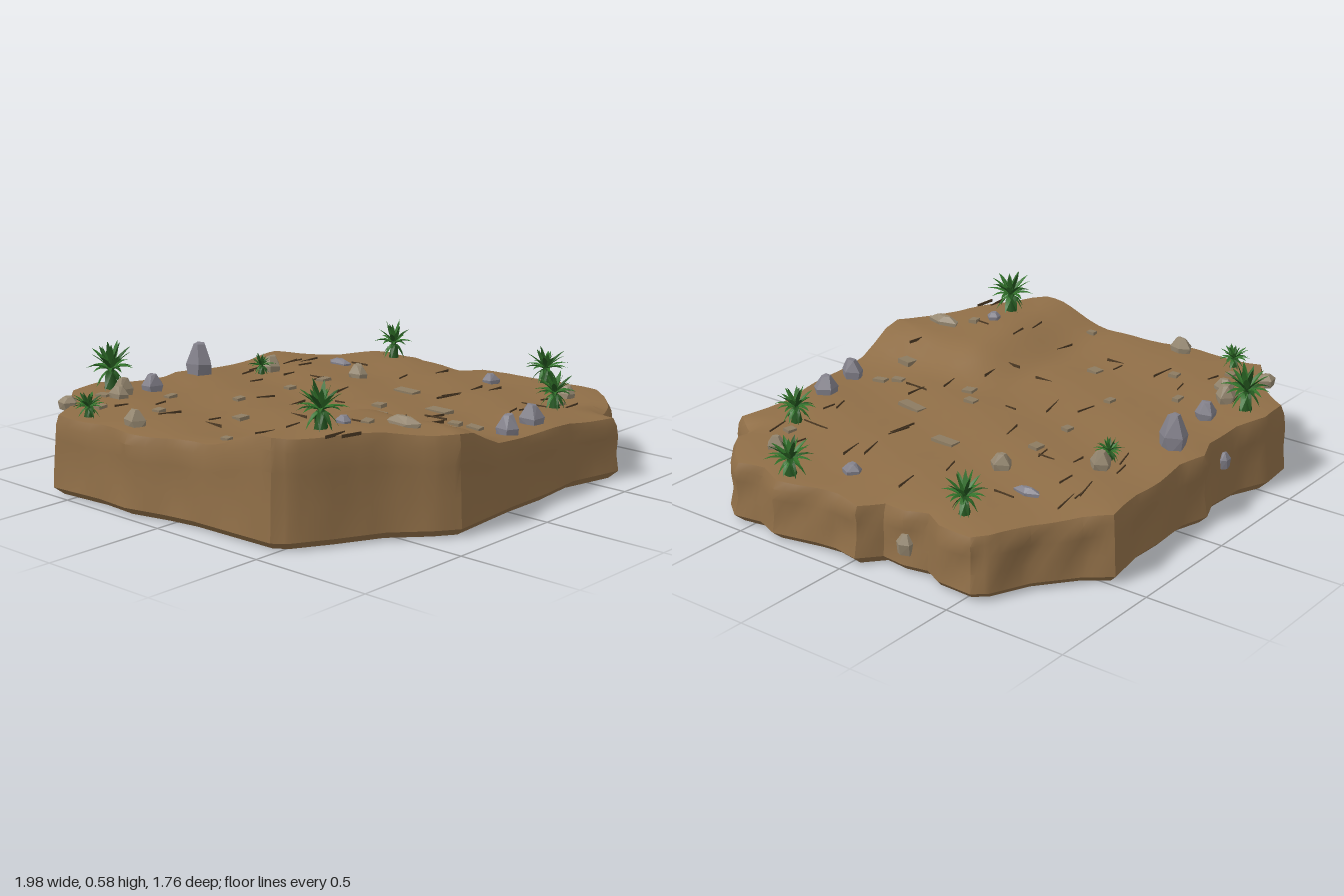
import * as THREE from 'three';
import { toCreasedNormals } from 'three/addons/utils/BufferGeometryUtils.js';
import { ConvexGeometry } from 'three/addons/geometries/ConvexGeometry.js';

const mat = (name, color, side = THREE.FrontSide) => {
  const m = new THREE.MeshStandardMaterial({ color, side });
  m.name = name;
  return m;
};

// Shore outline as x, z pairs, starting at the back right corner
const OUTLINE = [
  -0.99, -0.59, -0.89, -0.65, -0.80, -0.72, -0.68, -0.87, -0.53, -0.885, -0.40, -0.83, -0.22, -0.82,
  -0.12, -0.86, 0, -0.825, 0.15, -0.835, 0.3, -0.83, 0.49, -0.86, 0.56, -0.77, 0.71, -0.65,
  0.86, -0.58, 0.905, -0.53, 0.90, -0.38, 0.86, -0.3, 0.88, -0.2, 0.87, -0.1, 0.95, -0.03,
  0.93, 0.08, 0.94, 0.17, 0.98, 0.35, 0.94, 0.45, 0.96, 0.57, 0.9, 0.65, 0.77, 0.76,
  0.69, 0.78, 0.63, 0.88, 0.4, 0.83, 0.2, 0.85, 0, 0.85, -0.34, 0.875, -0.42, 0.82,
  -0.55, 0.70, -0.73, 0.61, -0.87, 0.53, -0.91, 0.48, -0.915, 0.3, -0.92, 0.1, -0.94, -0.03,
  -0.98, -0.2, -0.97, -0.35,
];

// Ground height: a gentle slope, a rise at the front, a gouge at the front corner
function ground(x, z) {
  const s = THREE.MathUtils.smoothstep;
  const rise = 0.09 * (1 - s(x, -0.32, -0.06)) * s(z, 0.12, 0.42);
  const gouge = 0.06 * Math.exp(-((x - 0.71) ** 2 + (z - 0.8) ** 2) / 0.004);
  const ripple = 0.005 * Math.sin(x * 13 + z * 5) + 0.005 * Math.sin(z * 17 - x * 7);
  return 0.28 - 0.04 * x + rise - gouge + ripple;
}

// Closed slab made of rings: underside, chamfer, wall, rounded rim, top
function slabGeometry() {
  const SUB = 4, pts = [], n = OUTLINE.length / 2;
  for (let i = 0; i < n; i++) for (let k = 0; k < SUB; k++) {
    const j = (i + 1) % n, t = k / SUB;
    pts.push([0, 1].map(c => THREE.MathUtils.lerp(OUTLINE[2 * i + c], OUTLINE[2 * j + c], t)));
  }
  const wall = f => (x, z) => 0.03 + f * (ground(x, z) - 0.05);
  const rings = [
    [0, () => 0], [0.965, () => 0], [1, () => 0.03],
    [0.995, wall(0.35), 0.012], [0.995, wall(0.7), 0.015], [0.992, wall(0.92), 0.008],
    [0.975, (x, z) => ground(x, z) - 0.004],
  ];
  for (let s = 0.92; s > 0.01; s -= 0.0767) rings.push([s, ground]);
  rings.push([0, ground]);
  const pos = [], idx = [], m = pts.length;
  rings.forEach(([s, h, bump = 0], r) => pts.forEach(([x, z]) => {
    const k = s - bump * (0.5 + 0.5 * Math.sin(x * 17 + z * 23 + r * 1.3));
    pos.push(x * k, h(x * k, z * k), z * k);
  }));
  for (let r = 0; r < rings.length - 1; r++) for (let i = 0; i < m; i++) {
    const a = r * m + i, b = r * m + (i + 1) % m;
    if (r > 0) idx.push(a, a + m, b);
    if (r === 0) idx.push(a, a + m, b + m);
    else if (r < rings.length - 2) idx.push(b, a + m, b + m);
  }
  const g = new THREE.BufferGeometry();
  g.setAttribute('position', new THREE.Float32BufferAttribute(pos, 3));
  g.setIndex(idx);
  return toCreasedNormals(g, 0.6);
}

// Arching blade with a folded middle, growing from the origin along +z
function bladeGeometry(length, width, lift, droop) {
  const pos = [], idx = [], N = 4;
  for (let i = 0; i <= N; i++) {
    const t = i / N, w = width * Math.sin(Math.PI * (0.18 + 0.82 * t));
    const y = lift * t - droop * t * t, z = length * t;
    pos.push(-w, y + w * 0.4, z, 0, y, z, w, y + w * 0.4, z);
    if (i < N) for (const c of [0, 1]) {
      const a = i * 3 + c;
      idx.push(a, a + 3, a + 1, a + 1, a + 3, a + 4);
    }
  }
  const g = new THREE.BufferGeometry();
  g.setAttribute('position', new THREE.Float32BufferAttribute(pos, 3));
  g.setIndex(idx);
  return toCreasedNormals(g, 0.5);
}

export function createModel() {
  const model = new THREE.Group();
  const earth = mat('earth brown', 0x8f6e47), dark = mat('crack brown', 0x4e3b25);
  const grey = mat('blue grey stone', 0x82808a), tan = mat('tan stone', 0x94866f);
  const chipTan = mat('dusty chip', 0x8d7c62);
  const leaf = mat('leaf green', 0x2f7028, THREE.DoubleSide);
  const deepLeaf = mat('deep leaf green', 0x23551f, THREE.DoubleSide);
  let seed = 7;
  const rnd = (a = 0, b = 1) => {
    seed = (seed * 16807) % 2147483647;
    return a + (b - a) * seed / 2147483647;
  };
  const add = (name, geo, material, x, y, z, parent = model) => {
    const mesh = new THREE.Mesh(geo, material);
    mesh.name = name;
    mesh.position.set(x, y, z);
    parent.add(mesh);
    return mesh;
  };

  add('groundSlab', slabGeometry(), earth, 0, 0, 0);

  // Angular stone: wide base, shoulder, small off-centre crown
  const stone = (w, h, d, sides) => {
    const p = [];
    for (const [y, s] of [[-0.02, 0.85], [h * 0.4, 1], [h, 0.42]]) for (let i = 0; i < sides; i++) {
      const a = (i + rnd(-0.2, 0.2)) / sides * Math.PI * 2;
      p.push(new THREE.Vector3(Math.cos(a) * w * s, y + rnd(-0.1, 0) * h, Math.sin(a) * d * s));
    }
    return new ConvexGeometry(p);
  };

  // Loose rocks: x, z, half width, half depth, height, material
  [
    [-0.10, -0.71, 0.055, 0.06, 0.13, grey], [-0.41, -0.66, 0.045, 0.045, 0.07, grey],
    [0.08, 0.75, 0.042, 0.05, 0.08, grey], [0.27, 0.72, 0.05, 0.05, 0.075, grey],
    [0.74, 0.16, 0.035, 0.04, 0.04, grey], [-0.55, 0.50, 0.03, 0.03, 0.03, grey],
    [0.51, -0.48, 0.025, 0.06, 0.025, grey], [-0.88, -0.24, 0.035, 0.05, 0.06, tan],
    [-0.64, -0.60, 0.035, 0.045, 0.05, tan], [-0.57, -0.65, 0.045, 0.04, 0.07, tan],
    [0.19, -0.58, 0.048, 0.045, 0.065, tan], [0.39, -0.27, 0.04, 0.045, 0.06, tan],
    [0.75, 0.54, 0.04, 0.035, 0.05, tan], [0.79, 0.46, 0.025, 0.03, 0.035, tan],
    [-0.40, 0.65, 0.03, 0.08, 0.035, tan], [-0.83, -0.68, 0.04, 0.04, 0.03, tan],
  ].forEach(([x, z, w, d, h, m]) => add('rock', stone(w, h, d, 5), m, x, ground(x, z), z));

  // Stones bedded in the walls
  [[-0.83, 0.12, -0.68, 0.045, tan], [-0.3, 0.2, -0.815, 0.03, grey], [0.86, 0.12, -0.2, 0.04, tan]]
    .forEach(([x, y, z, r, m]) => add('wallStone', stone(r * 0.9, r * 1.4, r * 0.9, 6), m, x, y - r * 0.6, z));

  // Flat chips bedded in the ground: x, z, half width, half depth
  [
    [0.17, 0.35, 0.025, 0.06], [0.34, 0.04, 0.025, 0.055], [0.02, 0.17, 0.02, 0.025],
    [-0.07, 0.25, 0.025, 0.025], [-0.51, -0.06, 0.025, 0.025], [-0.30, -0.28, 0.022, 0.016],
    [0, -0.29, 0.02, 0.018], [0.20, -0.29, 0.025, 0.022], [-0.66, -0.35, 0.02, 0.02],
    [-0.79, -0.54, 0.022, 0.02], [-0.47, -0.49, 0.025, 0.015], [-0.48, 0.55, 0.022, 0.018],
    [0.02, 0.55, 0.018, 0.025], [0.05, 0.62, 0.018, 0.03], [-0.81, 0.17, 0.015, 0.018],
    [-0.13, 0.62, 0.036, 0.032], [-0.65, -0.68, 0.02, 0.03], [0.61, 0.6, 0.022, 0.018],
  ].forEach(([x, z, w, d]) => {
    const chip = add('groundChip', new THREE.BoxGeometry(w * 1.9, 0.02, d * 1.9), chipTan, x, ground(x, z) + 0.001, z);
    chip.rotation.set(rnd(-0.08, 0.08), rnd(-0.25, 0.25), 0.04);
  });

  // Narrow cracks scattered over the top, mostly running side to side
  for (let i = 0; i < 44; i++) {
    const x = rnd(-0.72, 0.72), z = rnd(-0.66, 0.66), len = rnd(0.05, 0.13);
    const crack = add('crack', new THREE.BoxGeometry(len, 0.012, 0.003), dark, x, ground(x, z), z);
    crack.rotation.set(0, i % 5 === 0 ? Math.PI / 2 : rnd(-0.3, 0.3), -0.04);
  }

  // Spiky plants: x, z, spread, height
  [
    [-0.54, -0.76, 0.105, 0.19], [-0.89, -0.49, 0.07, 0.10], [0.12, -0.57, 0.058, 0.09],
    [0.77, -0.40, 0.085, 0.16], [0.89, 0.33, 0.092, 0.15], [0.54, 0.63, 0.088, 0.15],
    [-0.67, 0.50, 0.1, 0.17],
  ].forEach(([x, z, r, h]) => {
    const plant = new THREE.Group();
    plant.name = 'spikyPlant';
    plant.position.set(x, ground(x, z) - 0.005, z);
    model.add(plant);
    add('stem', new THREE.CylinderGeometry(r * 0.12, r * 0.28, h * 0.45, 6), deepLeaf, 0, h * 0.22, 0, plant);
    // Tiers: blade count, start height, reach, lift, droop
    [
      [7, 0.4, 0.62, -0.05, 0.3], [10, 0.4, 1.05, 0.4, 0.28],
      [8, 0.42, 0.85, 0.55, 0.12], [5, 0.42, 0.4, 0.62, 0.02],
    ].forEach(([count, y, reach, lift, droop], tier) => {
      for (let i = 0; i < count; i++) {
        const k = rnd(0.8, 1.08);
        const blade = add('leaf', bladeGeometry(r * reach * k, r * 0.12, h * lift * k, h * droop),
          (i + tier) % 3 ? leaf : deepLeaf, 0, h * y, 0, plant);
        blade.rotation.y = (i + rnd(-0.25, 0.25)) / count * Math.PI * 2 + tier;
      }
    });
  });
  return model;
}
